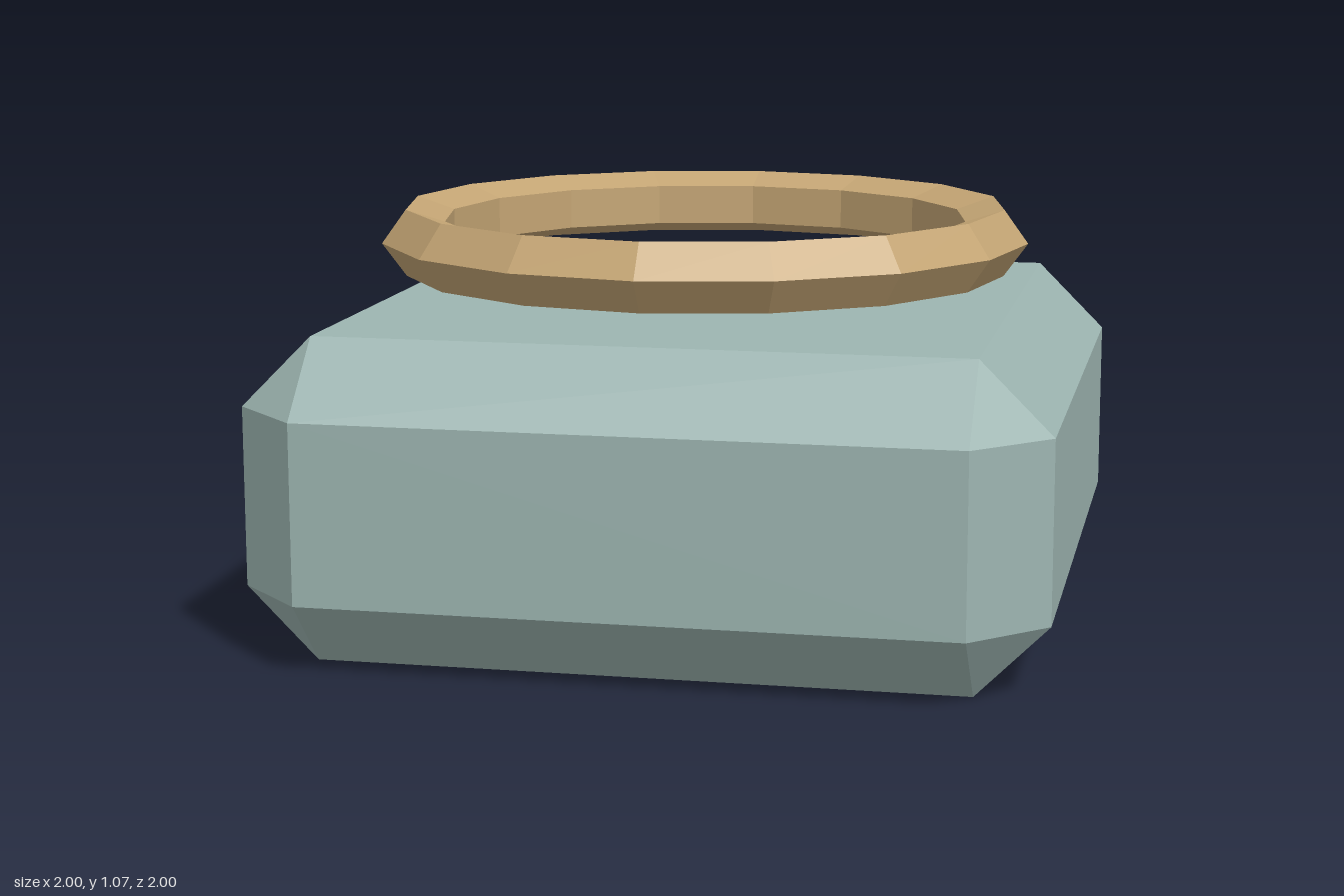
import * as THREE from 'three';
import { ConvexGeometry } from 'three/addons/geometries/ConvexGeometry.js';

// Box with every edge and corner cut at 45 degrees, standing on y = 0
function chamferedBox(width, height, depth, cut) {
  const points = [];
  for (const sx of [-1, 1]) for (const sy of [-1, 1]) for (const sz of [-1, 1]) {
    for (let axis = 0; axis < 3; axis++) {
      const inset = [0, 1, 2].map((i) => (i === axis ? 0 : cut));
      points.push(new THREE.Vector3(
        sx * (width / 2 - inset[0]),
        sy * (height / 2 - inset[1]) + height / 2,
        sz * (depth / 2 - inset[2])
      ));
    }
  }
  return new ConvexGeometry(points);
}

export function createModel() {
  const model = new THREE.Group();
  const stone = new THREE.MeshStandardMaterial({ name: 'greyGreenStone', color: 0x9db5b1, flatShading: true });
  const brass = new THREE.MeshStandardMaterial({ name: 'paleBrass', color: 0xc4a574, flatShading: true });

  // Chamfered block
  const base = new THREE.Mesh(chamferedBox(2, 0.818, 2, 0.182), stone);
  base.name = 'base';
  model.add(base);

  // Floating ring with a five-sided section
  const ring = new THREE.Mesh(new THREE.TorusGeometry(0.7636, 0.0909, 5, 16), brass);
  ring.name = 'ring';
  ring.rotation.x = Math.PI / 2;
  ring.position.y = 0.982;
  model.add(ring);

  return model;
}
